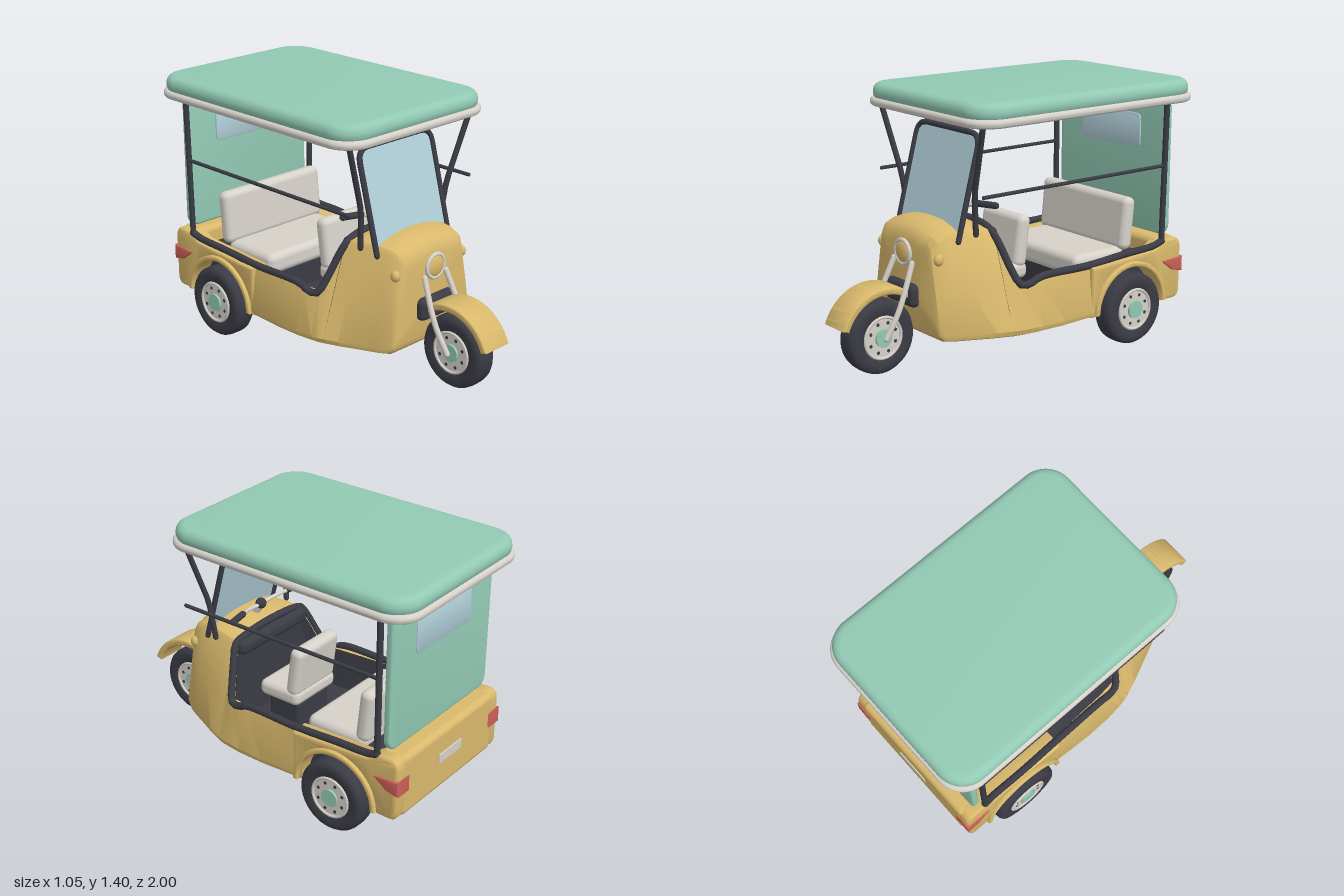
import * as THREE from 'three';
import { toCreasedNormals } from 'three/addons/utils/BufferGeometryUtils.js';
import { RoundedBoxGeometry } from 'three/addons/geometries/RoundedBoxGeometry.js';

const paint = (name, color) => new THREE.MeshStandardMaterial({ name, color, side: THREE.DoubleSide });
const V = (p) => new THREE.Vector3(...p);

export function createModel() {
  const yellow = paint('yellow paint', 0xd9b96c), green = paint('green canvas', 0x92cab4);
  const dark = paint('dark rubber', 0x3b3b45), pale = paint('pale grey', 0xd6d2ca);
  const glass = paint('glass', 0xb2d0da), red = paint('red lamp', 0xcd6058);
  const model = new THREE.Group();
  model.name = 'threeWheeler';

  const add = (name, geo, mat, pos = [0, 0, 0], parent = model) => {
    const mesh = new THREE.Mesh(geo, mat);
    mesh.name = name;
    mesh.position.set(...pos);
    parent.add(mesh);
    return mesh;
  };
  const box = (name, mat, size, pos, r = 0.02) => add(name, new RoundedBoxGeometry(...size, 3, r), mat, pos);
  // Pipe through points; straight pieces with short bends
  const pipe = (name, mat, pts, r, smooth = true) => {
    const v = pts.map(V);
    let curve;
    if (smooth && v.length > 2) curve = new THREE.CatmullRomCurve3(v, false, 'centripetal');
    else {
      curve = new THREE.CurvePath();
      for (let i = 1; i < v.length; i++) curve.add(new THREE.LineCurve3(v[i - 1], v[i]));
    }
    add(name, new THREE.TubeGeometry(curve, v.length > 2 ? 90 : 1, r, 10), mat);
    for (const e of [v[0], v[v.length - 1]]) add(name + 'End', new THREE.SphereGeometry(r, 10, 6), mat, e.toArray());
  };
  const roundRect = (w, h, r, S = THREE.Shape) => {
    const s = new S();
    s.absarc(w - r, h - r, r, 0, Math.PI / 2);
    s.absarc(-w + r, h - r, r, Math.PI / 2, Math.PI);
    s.absarc(-w + r, -h + r, r, Math.PI, Math.PI * 1.5);
    s.absarc(w - r, -h + r, r, Math.PI * 1.5, Math.PI * 2);
    s.closePath();
    return s;
  };
  const extrude = (shape, depth, b) => toCreasedNormals(new THREE.ExtrudeGeometry(shape, {
    depth: depth - 2 * b, bevelEnabled: b > 0, bevelSize: b, bevelThickness: b, bevelOffset: -b,
    bevelSegments: 4, curveSegments: 16 }).translate(0, 0, b), 0.6);
  // Side profile drawn as (z, y), extruded from x0 to x1
  const extrudeX = (shape, x0, x1, b) => extrude(shape, x1 - x0, b).rotateY(-Math.PI / 2).translate(x1, 0, 0);
  const ringSector = (cz, cy, r0, r1, a0, a1) => {
    const s = new THREE.Shape();
    s.absarc(cz, cy, r1, a0, a1, false);
    s.absarc(cz, cy, r0, a1, a0, true);
    s.closePath();
    return s;
  };
  // Skin over half sections (bottom centre outward), mirrored in x
  const loft = (sections, cap) => {
    const pos = [], idx = [];
    const rings = sections.map(({ z, pts }) => [...pts.slice(1).reverse().map(([x, y]) => [-x, y, z]),
      ...pts.map(([x, y]) => [x, y, z])]);
    const n = rings[0].length;
    rings.forEach((r) => r.forEach((p) => pos.push(...p)));
    for (let i = 0; i < rings.length - 1; i++) for (let j = 0; j < n - 1; j++) {
      const a = i * n + j, b = a + 1, c = a + n, d = c + 1;
      idx.push(a, b, c, b, d, c);
    }
    if (cap) {
      pos.push(0, 0.45, sections[0].z + 0.004);
      for (let j = 0; j < n - 1; j++) idx.push(n * rings.length, j + 1, j);
    }
    const g = new THREE.BufferGeometry();
    g.setAttribute('position', new THREE.Float32BufferAttribute(pos, 3));
    g.setIndex(idx);
    return toCreasedNormals(g, 0.55);
  };

  // Front cowl: z, bottom y, bottom half width, shoulder half width, shoulder y, top y
  const cowl = [[0.576, 0.25, 0.27, 0.19, 0.62, 0.67], [0.568, 0.22, 0.29, 0.215, 0.66, 0.71],
    [0.54, 0.195, 0.305, 0.235, 0.69, 0.745], [0.48, 0.19, 0.33, 0.245, 0.71, 0.77], [0.4, 0.19, 0.365, 0.255, 0.715, 0.775],
    [0.3, 0.19, 0.41, 0.27, 0.71, 0.765], [0.22, 0.19, 0.44, 0.28, 0.7, 0.74]].map(([z, yb, wb, wt, ys, yt]) => ({
    z, pts: [[0, yb], [wb - 0.03, yb], [wb - 0.008, yb + 0.01], [wb, yb + 0.035], [(wb + wt) / 2 + 0.005, (yb + ys) / 2],
      [wt, ys], [wt - 0.015, ys + 0.02], [wt - 0.06, ys * 0.4 + yt * 0.6], [wt * 0.4, yt - 0.005], [0, yt]] }));
  add('frontCowl', loft(cowl, true), yellow);
  const dash = new THREE.Shape(cowl[6].pts.concat(cowl[6].pts.slice(1, -1).reverse().map(([x, y]) => [-x, y]))
    .map(([x, y]) => new THREE.Vector2(x, y)));
  add('dashboard', new THREE.ShapeGeometry(dash), dark, [0, 0, 0.221]);

  // Open cabin tub: z, bottom half width, sill half width, sill y
  const tub = [[0.22, 0.44, 0.28, 0.71], [0.19, 0.45, 0.335, 0.6], [0.15, 0.457, 0.4, 0.45],
    [0.05, 0.468, 0.412, 0.455], [-0.1, 0.47, 0.418, 0.46], [-0.36, 0.455, 0.43, 0.465]];
  add('cabinTub', loft(tub.map(([z, wb, ws, s]) => ({
    z, pts: [[0, 0.19], [wb - 0.03, 0.19], [wb - 0.008, 0.2], [wb, 0.225], [ws, s], [ws - 0.025, s]] }))), yellow);
  add('cabinLining', loft(tub.map(([z, , ws, s]) => ({
    z, pts: [[0, 0.24], [0.36, 0.24], [ws - 0.025, s]] }))), dark);

  // Rear body
  for (const s of [1, -1]) {
    const range = (a, b) => (s > 0 ? [a, b] : [-b, -a]);
    const pod = new THREE.Shape();
    pod.moveTo(-0.3, 0.19);
    pod.lineTo(-0.338, 0.19);
    pod.absarc(-0.57, 0.2, 0.232, 0, Math.PI, false);
    pod.lineTo(-0.802, 0.19);
    pod.lineTo(-0.9, 0.19);
    pod.quadraticCurveTo(-0.94, 0.19, -0.945, 0.24);
    pod.lineTo(-0.945, 0.48);
    pod.quadraticCurveTo(-0.94, 0.53, -0.9, 0.535);
    pod.lineTo(-0.82, 0.53);
    pod.lineTo(-0.76, 0.49);
    pod.lineTo(-0.3, 0.465);
    add('rearSide', extrudeX(pod, ...range(0.34, 0.455), 0.018), yellow);
    add('rearFender', extrudeX(ringSector(-0.57, 0.2, 0.228, 0.255, 0, Math.PI), ...range(0.36, 0.475), 0.008), yellow);
    const lamp = new THREE.Shape([[-0.8, 0.415], [-0.88, 0.355], [-0.953, 0.34], [-0.953, 0.425]].map((p) => new THREE.Vector2(...p)));
    add('tailLamp', extrudeX(lamp, ...range(0.36, 0.462), 0.008), red);
  }
  box('tail', yellow, [0.82, 0.345, 0.15], [0, 0.3625, -0.873], 0.035);
  box('numberPlate', pale, [0.2, 0.055, 0.008], [0, 0.38, -0.95], 0.003);
  box('underBox', dark, [0.72, 0.26, 0.48], [0, 0.31, -0.57], 0.01);

  // Edge trim around the cabin opening
  const half = [[0.2, 0.735, 0.22], [0.275, 0.71, 0.225], [0.315, 0.64, 0.205], [0.36, 0.54, 0.18], [0.405, 0.45, 0.145],
    [0.415, 0.445, 0.1], [0.418, 0.472, 0.03], [0.422, 0.475, -0.3], [0.43, 0.495, -0.55], [0.43, 0.505, -0.76], [0.438, 0.525, -0.81]];
  pipe('edgeTrim', dark, [...half.map(([x, y, z]) => [-x, y, z]).reverse(), [0, 0.748, 0.22], ...half], 0.02);
  box('dashRoll', dark, [0.54, 0.09, 0.08], [0, 0.685, 0.21], 0.038);

  // Seats
  box('driverCushion', pale, [0.34, 0.09, 0.26], [0, 0.43, 0.03], 0.035);
  box('driverPedestal', dark, [0.26, 0.16, 0.2], [0, 0.31, 0.02]);
  box('driverBackrest', pale, [0.34, 0.28, 0.08], [0, 0.585, -0.07], 0.035).rotation.x = -0.13;
  box('benchCushion', pale, [0.66, 0.12, 0.36], [0, 0.44, -0.47], 0.04);
  box('benchBackrest', pale, [0.7, 0.29, 0.08], [0, 0.625, -0.655], 0.035).rotation.x = -0.1;

  // Roof with rim
  const rim = roundRect(0.525, 0.745, 0.15);
  rim.holes.push(roundRect(0.46, 0.68, 0.1, THREE.Path));
  add('roofRim', extrude(rim, 0.045, 0.02).rotateX(-Math.PI / 2), pale, [0, 1.287, -0.255]);
  add('roof', extrude(roundRect(0.514, 0.733, 0.15), 0.1, 0.045).rotateX(-Math.PI / 2), green, [0, 1.308, -0.255]);

  // Rear curtain with window
  add('rearCurtain', extrude(roundRect(0.43, 0.38, 0.06), 0.04, 0.012), green, [0, 0.93, -0.875]);
  for (const z of [-0.88, -0.834]) add('rearWindow', extrude(roundRect(0.235, 0.095, 0.03), 0.008, 0.002), glass, [0, 1.1, z]);

  // Roof frame
  for (const s of [1, -1]) {
    pipe('frontPost', dark, [[s * 0.44, 1.3, 0.41], [s * 0.325, 0.96, 0.372], [s * 0.312, 0.9, 0.365], [s * 0.295, 0.72, 0.345]], 0.015, false);
    pipe('rearPost', dark, [[s * 0.438, 0.52, -0.81], [s * 0.448, 1.3, -0.815]], 0.016);
    pipe('sideBar', dark, [[s * 0.443, 0.945, 0.41], [s * 0.443, 0.945, -0.81]], 0.01);
  }

  // Windscreen, leaning back
  const lean = (y) => 0.43 - (y - 0.69) * 0.264;
  const arch = [[0.263, 0.69], [0.263, 1.15], [0.258, 1.18], [0.243, 1.2], [0.22, 1.213], [0.19, 1.216]];
  pipe('windscreenFrame', dark, [...arch, ...arch.map(([x, y]) => [-x, y]).reverse()].map(([x, y]) => [x, y, lean(y)]), 0.015, false);
  const pane = new THREE.ShapeGeometry(roundRect(0.26, 0.26, 0.06)).translate(0, 0.955, 0);
  const pp = pane.attributes.position;
  for (let i = 0; i < pp.count; i++) pp.setZ(i, lean(pp.getY(i)));
  pane.computeVertexNormals();
  add('windscreen', pane, glass);

  // Wheels
  const tyre = [[0.1, -0.045], [0.12, -0.056], [0.155, -0.063], [0.18, -0.058], [0.192, -0.042], [0.195, -0.02],
    [0.195, 0.02], [0.192, 0.042], [0.18, 0.058], [0.155, 0.063], [0.12, 0.056], [0.1, 0.045]].map((p) => new THREE.Vector2(...p));
  const wheel = (name, x, z, faces) => {
    const g = new THREE.Group();
    g.name = name;
    g.position.set(x, 0.2, z);
    g.rotation.z = -Math.PI / 2;
    model.add(g);
    add('tyre', new THREE.LatheGeometry(tyre, 40), dark, [0, 0, 0], g);
    add('wheelCore', new THREE.CylinderGeometry(0.105, 0.105, 0.08, 32), dark, [0, 0, 0], g);
    for (const s of faces) {
      add('rim', new THREE.CylinderGeometry(0.112, 0.112, 0.01, 32), pale, [0, s * 0.05, 0], g);
      add('rimLip', new THREE.TorusGeometry(0.108, 0.008, 8, 32).rotateX(Math.PI / 2), pale, [0, s * 0.056, 0], g);
      add('hub', new THREE.CylinderGeometry(0.048, 0.048, 0.025, 24), green, [0, s * 0.055, 0], g);
      for (let k = 0; k < 8; k++) {
        const a = (k + 0.5) * Math.PI / 4;
        add('rimHole', new THREE.CylinderGeometry(0.009, 0.009, 0.006, 10), dark, [Math.cos(a) * 0.08, s * 0.054, Math.sin(a) * 0.08], g);
      }
    }
  };
  wheel('frontWheel', 0, 0.75, [1, -1]);
  wheel('leftRearWheel', 0.437, -0.57, [1]);
  wheel('rightRearWheel', -0.437, -0.57, [-1]);

  // Front fork and fender
  add('frontFender', extrudeX(ringSector(0.75, 0.2, 0.23, 0.268, 0.34, 2.2), -0.09, 0.09, 0.01), yellow);
  for (const s of [1, -1]) pipe('fork', pale, [[s * 0.085, 0.2, 0.75], [s * 0.098, 0.32, 0.69], [s * 0.098, 0.4, 0.655], [s * 0.08, 0.565, 0.585]], 0.015);
  box('forkBracket', dark, [0.25, 0.12, 0.07], [0, 0.4, 0.585], 0.03);

  // Lamps
  add('headlampRing', new THREE.TorusGeometry(0.062, 0.011, 10, 32), pale, [0, 0.61, 0.585]);
  add('headlamp', new THREE.SphereGeometry(0.06, 24, 12).scale(1, 1, 0.35), yellow, [0, 0.61, 0.583]);
  for (const s of [1, -1]) add('turnLamp', new THREE.SphereGeometry(0.03, 16, 10).scale(0.75, 1, 0.9), yellow, [s * 0.247, 0.61, 0.54]);

  // Handlebar
  pipe('steeringStem', pale, [[0, 0.72, 0.34], [0, 0.82, 0.28]], 0.018);
  for (const s of [1, -1]) {
    pipe('handlebar', pale, [[0, 0.82, 0.28], [s * 0.1, 0.825, 0.28], [s * 0.2, 0.845, 0.24]], 0.011);
    pipe('grip', dark, [[s * 0.19, 0.845, 0.245], [s * 0.295, 0.85, 0.22]], 0.018);
  }
  add('steeringHead', new THREE.SphereGeometry(0.03, 16, 10), dark, [0, 0.825, 0.28]);
  return model;
}
